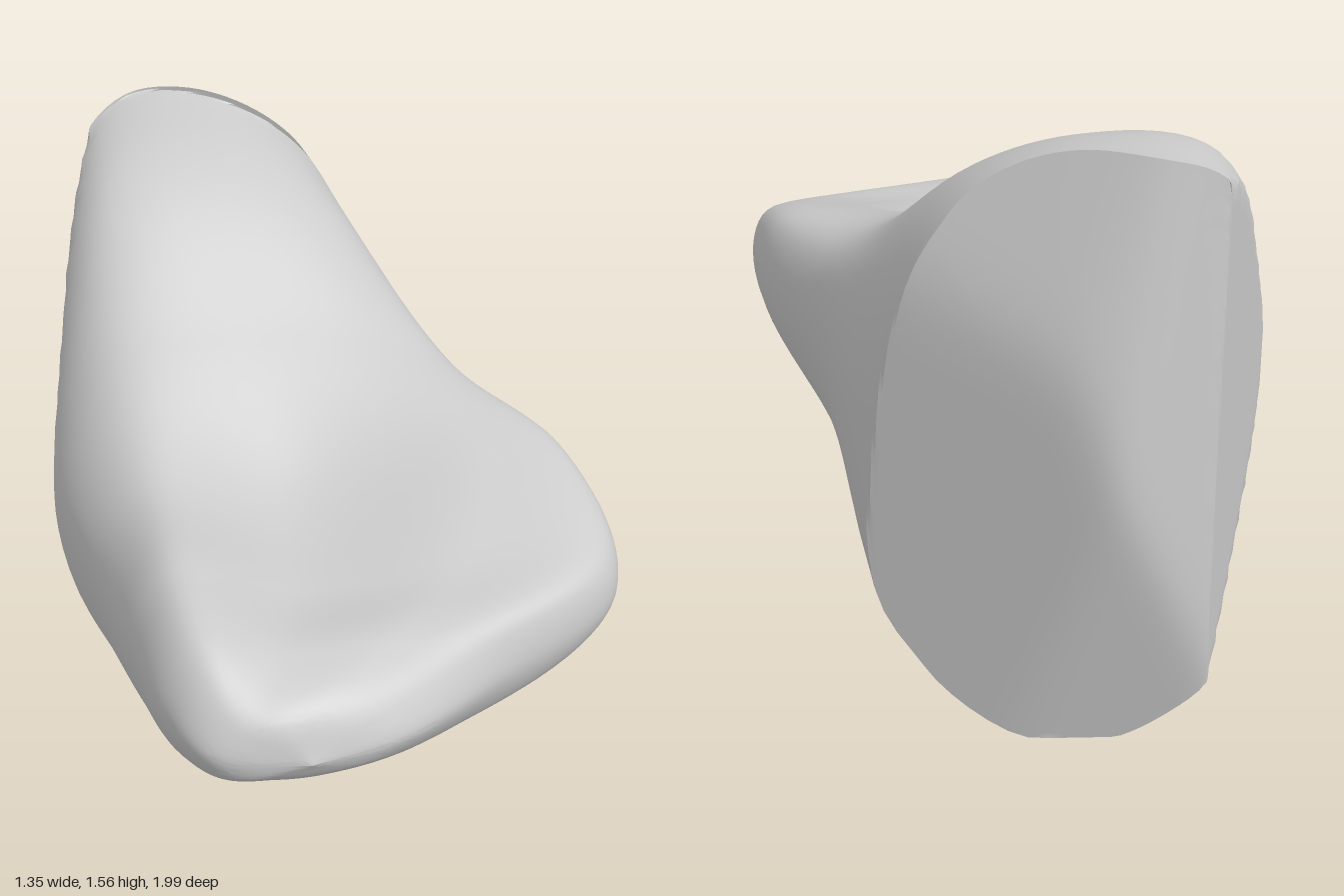
import * as THREE from 'three';
import { toCreasedNormals } from 'three/addons/utils/BufferGeometryUtils.js';

// Cross-sections from nose to back. Ten x,y pairs each, running
// right side, over the top, down the left side and back along the underside.
const sections = [
  { z: 0.95, p: [0, 0.7, -0.07, 0.76, -0.18, 0.8, -0.3, 0.81, -0.38, 0.79, -0.44, 0.72, -0.4, 0.65, -0.3, 0.63, -0.2, 0.625, -0.06, 0.65] },
  { z: 0.8, p: [0.26, 0.7, 0.2, 0.8, 0, 0.85, -0.25, 0.87, -0.44, 0.91, -0.53, 0.76, -0.47, 0.59, -0.3, 0.545, -0.1, 0.545, 0.16, 0.585] },
  { z: 0.55, p: [0.64, 0.72, 0.6, 0.85, 0.25, 0.87, -0.15, 0.855, -0.46, 0.955, -0.57, 0.78, -0.51, 0.52, -0.3, 0.45, 0, 0.455, 0.51, 0.565] },
  { z: 0.2, p: [0.63, 0.72, 0.59, 0.96, 0.38, 0.99, -0.1, 0.9, -0.46, 0.965, -0.61, 0.76, -0.55, 0.42, -0.36, 0.31, -0.05, 0.31, 0.47, 0.48] },
  { z: -0.15, p: [0.47, 0.73, 0.42, 1.0, 0.24, 1.11, -0.1, 1.15, -0.49, 1.14, -0.67, 0.83, -0.62, 0.4, -0.42, 0.2, -0.08, 0.175, 0.36, 0.38] },
  { z: -0.55, p: [0.36, 0.75, 0.28, 1.14, 0.12, 1.36, -0.15, 1.46, -0.48, 1.42, -0.64, 0.95, -0.59, 0.38, -0.4, 0.11, -0.12, 0.045, 0.3, 0.28] },
  { z: -1.0, p: [0.23, 0.75, 0.16, 1.33, 0.02, 1.49, -0.2, 1.56, -0.46, 1.48, -0.62, 0.9, -0.56, 0.36, -0.38, 0.08, -0.18, -0.02, 0.2, 0.15] },
];
const LINES = 10, STEPS = 100, AROUND = 90, CAP = 24;

// The broken-off back: a slanting main plane, blended into the top edge,
// the upper and lower tilts and the rear left ridge with a soft maximum
const SOFT = 60;
const backZ = (x, y) => Math.log([
  -0.808 + 0.53 * x - 0.1 * y,
  -0.85 + 0.4 * x + 0.2 * (y - 1.5),
  -1.015 + 0.077 * (y - 0.78),
  -1.015 + 0.256 * (0.78 - y),
  -1.16 - 0.6 * x,
].reduce((sum, z) => sum + Math.exp(SOFT * z), 0)) / SOFT;

// The flat left flank, running from the rear ridge to the widest point
const flankX = (z) => -0.735 - 0.305 * z;

function rockGeometry() {
  // Lengthwise curves, all starting at the nose tip
  const rails = Array.from({ length: LINES }, (_, k) => new THREE.CatmullRomCurve3([
    new THREE.Vector3(-0.22, 0.7, 1),
    ...sections.map(({ z, p }) => new THREE.Vector3(p[2 * k], p[2 * k + 1], z)),
  ]));

  // Closed rings through the rails
  const rings = [];
  for (let i = 0; i <= STEPS; i++) {
    const loop = new THREE.CatmullRomCurve3(rails.map((r) => r.getPoint(i / STEPS)), true);
    rings.push(Array.from({ length: AROUND }, (_, j) => loop.getPoint(j / AROUND)));
  }

  // Shrinking rings that close the back
  const last = rings[STEPS];
  const centre = new THREE.Vector3(-0.1, 0.75, -1);
  for (let i = 1; i <= CAP; i++) {
    rings.push(last.map((v) => v.clone().lerp(centre, i / CAP)));
  }

  // Trim every point to the back facets, the flank and the ground
  const positions = [];
  for (const ring of rings) {
    for (const v of ring) {
      const y = Math.max(v.y, 0);
      const z = Math.min(1, Math.max(v.z, backZ(v.x, y)));
      positions.push(Math.max(v.x, flankX(z)), y, z);
    }
  }

  const index = [];
  for (let i = 0; i < rings.length - 1; i++) {
    for (let j = 0; j < AROUND; j++) {
      const a = i * AROUND + j;
      const b = i * AROUND + (j + 1) % AROUND;
      index.push(a, a + AROUND, b, b, a + AROUND, b + AROUND);
    }
  }
  const geometry = new THREE.BufferGeometry();
  geometry.setAttribute('position', new THREE.Float32BufferAttribute(positions, 3));
  geometry.setIndex(index);
  return toCreasedNormals(geometry, 0.5);
}

export function createModel() {
  const group = new THREE.Group();
  group.name = 'boulder';
  const rock = new THREE.Mesh(
    rockGeometry(),
    new THREE.MeshStandardMaterial({ color: 0xcccccc })
  );
  rock.name = 'rock';
  group.add(rock);
  return group;
}
